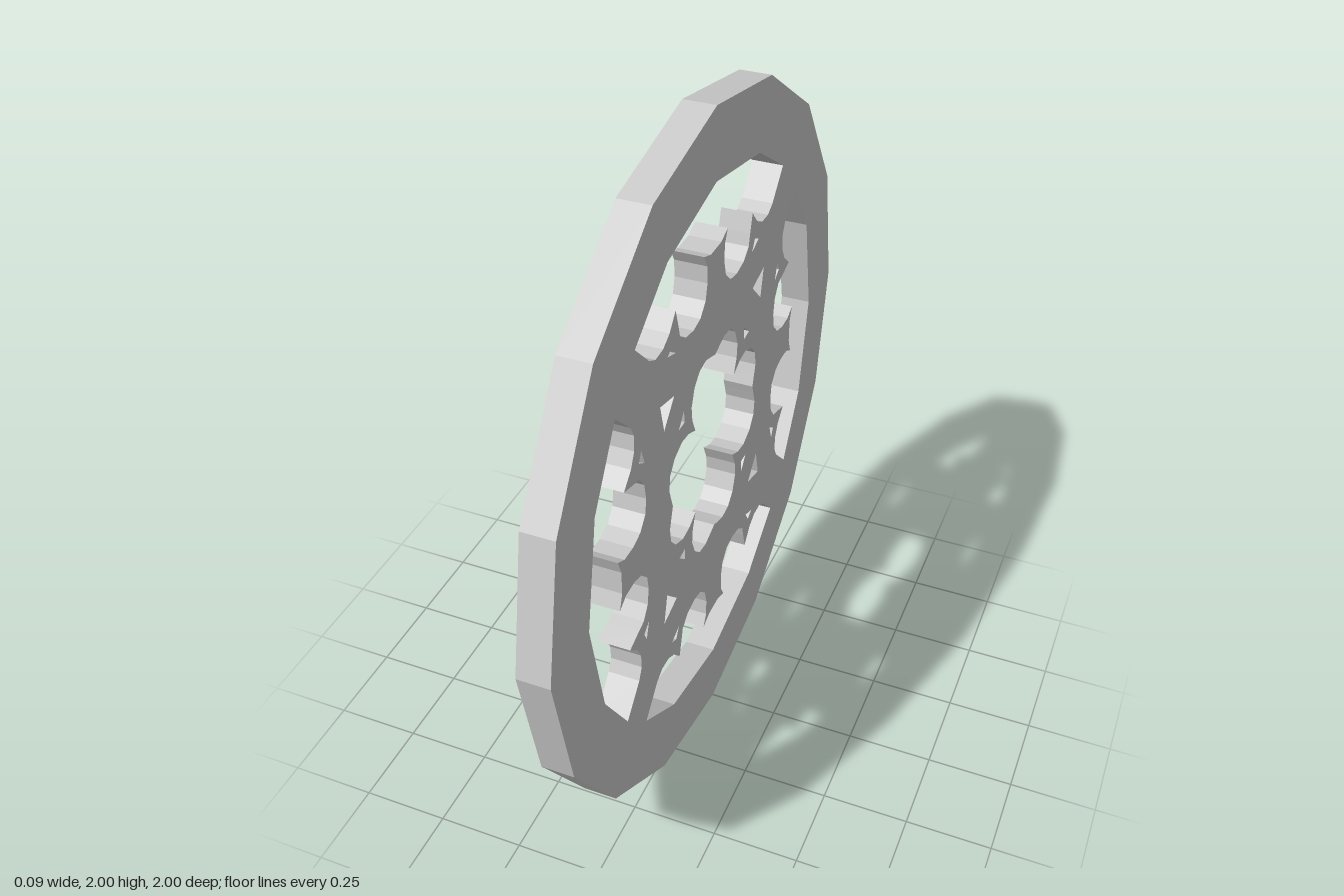
import * as THREE from 'three';

const THICKNESS = 0.09;

// Half outline of a window: rim side, tooth tips and scallops (u >= 0)
const windowHalf = [
  [0, 0.8], [0.306, 0.739], [0.498, 0.614], [0.42, 0.535], [0.385, 0.517],
  [0.34, 0.519], [0.3, 0.54], [0.262, 0.583], [0.246, 0.53], [0.237, 0.495],
  [0.2, 0.468], [0.15, 0.459], [0.105, 0.467], [0.07, 0.5], [0.058, 0.545],
  [0.06, 0.595], [0.08, 0.632], [0.035, 0.615], [0, 0.615],
];

// One eighth of the lobed centre opening, from the axis to the diagonal
const centreEighth = [
  [0, 0.295], [0.03, 0.305], [0.065, 0.316], [0.11, 0.31], [0.145, 0.28],
  [0.165, 0.23], [0.16, 0.185], [0.14, 0.14],
];

// Small triangular piercings in one quarter
const cusp = [[0.315, 0.48], [0.285, 0.495], [0.264, 0.462]];
const swap = (pts) => pts.map(([u, v]) => [v, u]);
const piercings = [
  cusp, swap(cusp),
  [[0.364, 0.364], [0.277, 0.342], [0.342, 0.277]],
  [[0.255, 0.216], [0.216, 0.25], [0.216, 0.211]],
];

const quarterTurn = (pts, k) => pts.map(([u, v]) => {
  const c = [1, 0, -1, 0][k], s = [0, 1, 0, -1][k];
  return [u * c - v * s, u * s + v * c];
});
const toPath = (pts) => new THREE.Path(pts.map(([u, v]) => new THREE.Vector2(u, v)));

export function createModel() {
  const group = new THREE.Group();
  group.name = 'traceryWheel';

  // Sixteen-sided rim
  const outline = Array.from({ length: 16 }, (_, i) => {
    const a = (i * Math.PI) / 8;
    return new THREE.Vector2(Math.cos(a), Math.sin(a));
  });
  const shape = new THREE.Shape(outline);

  // Four windows and the piercings, repeated every quarter turn
  const mirrored = windowHalf.slice(1, -1).reverse().map(([u, v]) => [-u, v]);
  const windowOutline = [...windowHalf, ...mirrored];
  const centreQuarter = [...centreEighth, ...swap(centreEighth).reverse().slice(1, -1)];
  const centre = [];
  for (let k = 0; k < 4; k++) {
    for (const hole of [windowOutline, ...piercings]) {
      shape.holes.push(toPath(quarterTurn(hole, k)));
    }
    centre.push(...quarterTurn(centreQuarter, (4 - k) % 4));
  }

  // Lobed centre opening
  shape.holes.push(toPath(centre));

  // Thin plate turned to face sideways, standing on the ground
  const geometry = new THREE.ExtrudeGeometry(shape, { depth: THICKNESS, bevelEnabled: false });
  geometry.translate(0, 0, -THICKNESS / 2);
  geometry.rotateY(Math.PI / 2);
  geometry.translate(0, 1, 0);
  const material = new THREE.MeshStandardMaterial({ color: 0xcccccc, flatShading: true });
  const wheel = new THREE.Mesh(geometry, material);
  wheel.name = 'rimAndTracery';
  group.add(wheel);
  return group;
}
